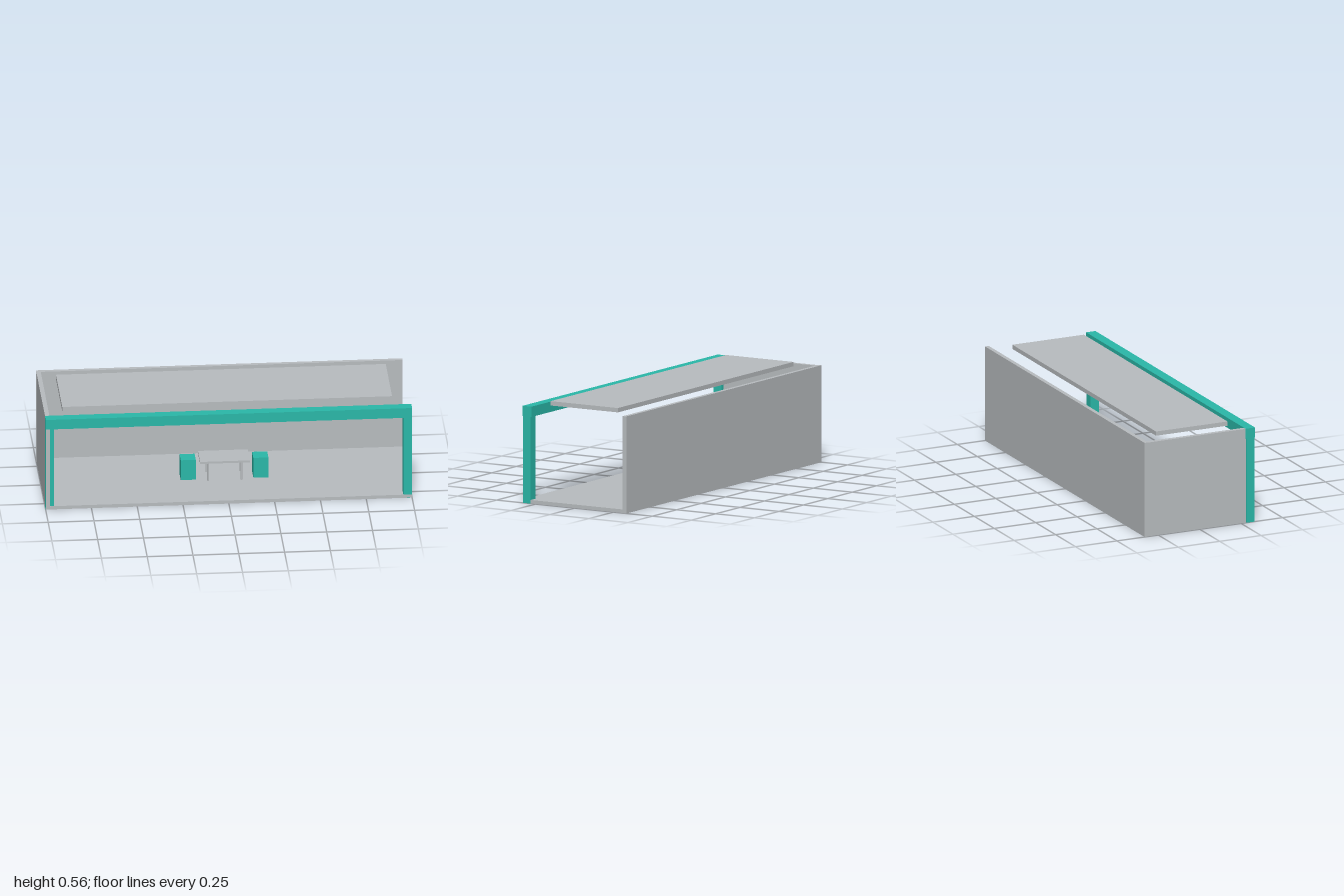
import * as THREE from 'three';

export function createModel() {
  const group = new THREE.Group();
  const grey = new THREE.MeshStandardMaterial({ color: 0xb8bcbf });
  grey.name = 'light grey';
  const teal = new THREE.MeshStandardMaterial({ color: 0x2ab8a8 });
  teal.name = 'teal';

  function add(name, geometry, material, x, y, z) {
    const mesh = new THREE.Mesh(geometry, material);
    mesh.name = name;
    mesh.position.set(x, y, z);
    group.add(mesh);
  }

  // Box given by its minimum and maximum on each axis
  function box(name, material, [x0, x1], [y0, y1], [z0, z1]) {
    add(name, new THREE.BoxGeometry(x1 - x0, y1 - y0, z1 - z0), material,
      (x0 + x1) / 2, (y0 + y1) / 2, (z0 + z1) / 2);
  }

  // Room shell: floor, back wall and one end wall; the other end is open.
  // Tiny insets keep the shared faces of shell and frame apart.
  box('floor', grey, [-0.999, 0.999], [0.001, 0.02], [-0.332, 0.332]);
  box('backWall', grey, [-1, 1], [0, 0.535], [-0.333, -0.31]);
  box('endWall', grey, [-0.999, -0.975], [0.001, 0.534], [-0.332, 0.332]);

  // Front frame: two posts under a beam
  for (const [name, x] of [['leftPost', [0.952, 1]], ['rightPost', [-1, -0.955]]]) {
    box(name, teal, x, [0, 0.479], [0.281, 0.331]);
  }
  box('beam', teal, [-1, 1], [0.478, 0.535], [0.277, 0.3335]);

  // Floating roof panel
  box('roofPanel', grey, [-0.9, 0.9], [0.533, 0.557], [-0.216, 0.216]);

  // Table with four round legs
  box('tableTop', grey, [-0.136, 0.136], [0.127, 0.139], [-0.074, 0.074]);
  const leg = new THREE.CylinderGeometry(0.0055, 0.0055, 0.107, 16);
  for (const x of [-0.091, 0.091]) {
    for (const z of [-0.058, 0.058]) add('tableLeg', leg, grey, x, 0.0735, z);
  }

  // Block seats at both ends of the table
  for (const side of [-1, 1]) {
    add('seat', new THREE.BoxGeometry(0.082, 0.118, 0.082), teal, side * 0.198, 0.079, 0);
  }

  return group;
}
